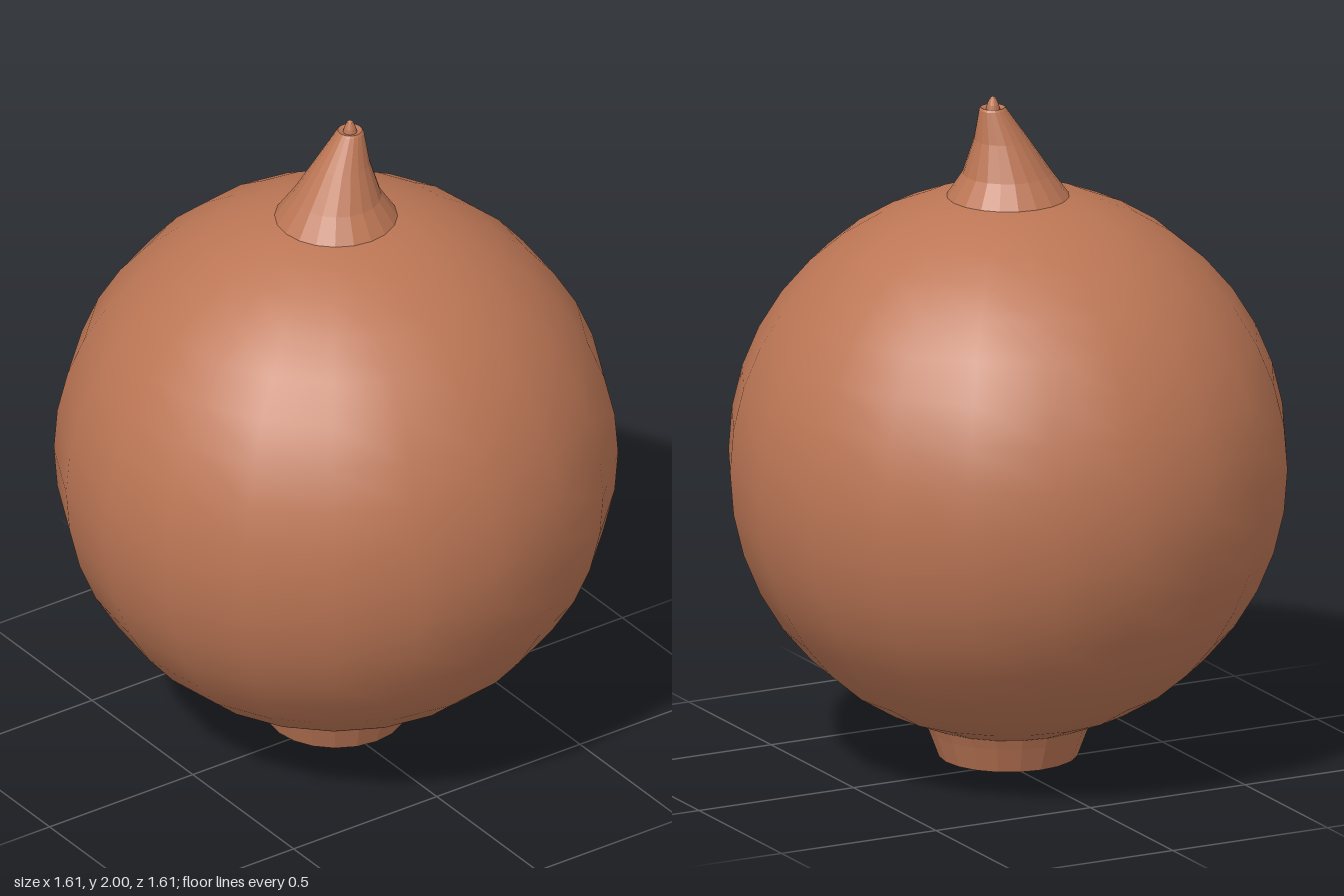
import * as THREE from 'three';

const SIDES = 20;

// Turned surface from [radius, y] pairs listed bottom to top
function turned(profile) {
  return new THREE.LatheGeometry(profile.map(([r, y]) => new THREE.Vector2(r, y)), SIDES);
}

// Turned surface with crisp facets
function faceted(profile) {
  const geo = turned(profile).toNonIndexed();
  geo.computeVertexNormals();
  return geo;
}

export function createModel() {
  const group = new THREE.Group();
  const clay = new THREE.MeshStandardMaterial({ color: 0xbc7655 });

  const add = (name, geo) => {
    const mesh = new THREE.Mesh(geo, clay);
    mesh.name = name;
    group.add(mesh);
  };

  // Smooth round body
  const body = new THREE.SphereGeometry(0.806, SIDES, 20);
  body.translate(0, 0.914, 0);
  add('body', body);

  // Short tapered foot with a shallow domed underside
  add('foot', faceted([
    [0, 0.005], [0.1, 0.012], [0.2, 0.04], [0.228, 0.115], [0.247, 0.16],
  ]));

  // Stem whose rings lean towards the back as they rise
  const stem = turned([
    [0.178, 1.695], [0.128, 1.767], [0.078, 1.87], [0.04, 1.96], [0.035, 1.967], [0.02, 1.962],
    [0.017, 1.975], [0.009, 1.994], [0, 2],
  ]);
  const lean = [[1.695, 0], [1.767, -0.003], [1.87, -0.023], [1.96, -0.049], [2.1, -0.049]];
  const pos = stem.attributes.position;
  for (let i = 0; i < pos.count; i++) {
    const y = pos.getY(i);
    const k = Math.max(1, lean.findIndex(([h]) => h >= y - 1e-5));
    const [y0, z0] = lean[k - 1], [y1, z1] = lean[k];
    pos.setZ(i, pos.getZ(i) + THREE.MathUtils.mapLinear(y, y0, y1, z0, z1));
  }
  const stemFacets = stem.toNonIndexed();
  stemFacets.computeVertexNormals();
  add('stem', stemFacets);

  return group;
}
